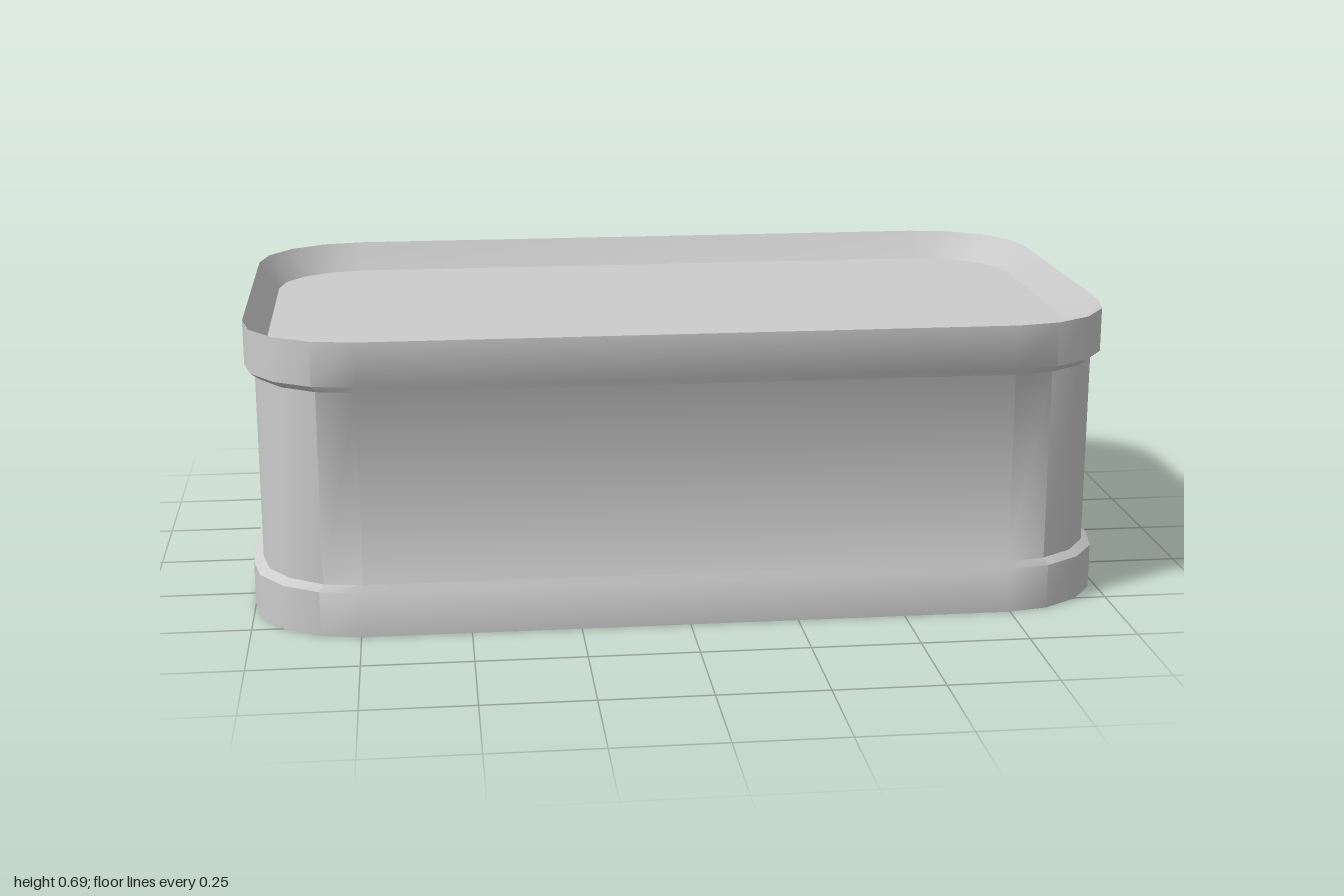
import * as THREE from 'three';
import { toCreasedNormals } from 'three/addons/utils/BufferGeometryUtils.js';

const CX = 0.743, CZ = 0.329; // centres of the rounded corners
const STEPS = 4;              // facets per corner

// Rounded rectangle outline reaching to x = hx and z = hz, as [x, z] points
function outline(hx, hz) {
  const pts = [];
  [[1, 1], [-1, 1], [-1, -1], [1, -1]].forEach(([sx, sz], q) => {
    for (let i = 0; i <= STEPS; i++) {
      const a = (q + i / STEPS) * Math.PI / 2;
      pts.push([sx * CX + (hx - CX) * Math.cos(a), sz * CZ + (hz - CZ) * Math.sin(a)]);
    }
  });
  return pts;
}

// Skin joining outlines listed from bottom to top as [hx, hz, y]
function loft(sections, crease) {
  const pos = [];
  const rings = sections.map(([hx, hz, y]) => outline(hx, hz).map(([x, z]) => [x, y, z]));
  for (let k = 0; k < rings.length - 1; k++) {
    const lo = rings[k], hi = rings[k + 1], n = lo.length;
    for (let i = 0; i < n; i++) {
      const j = (i + 1) % n;
      pos.push(...lo[i], ...hi[i], ...lo[j], ...lo[j], ...hi[i], ...hi[j]);
    }
  }
  const geo = new THREE.BufferGeometry();
  geo.setAttribute('position', new THREE.Float32BufferAttribute(pos, 3));
  return toCreasedNormals(geo, crease);
}

// Flat panel facing up (dir = 1) or down (dir = -1)
function panel(hx, hz, y, dir) {
  const shape = new THREE.Shape(outline(hx, hz).map(([x, z]) => new THREE.Vector2(x, z)));
  return new THREE.ShapeGeometry(shape).rotateX(-dir * Math.PI / 2).translate(0, y, 0);
}

export function createModel() {
  const model = new THREE.Group();
  model.name = 'tin';
  const metal = new THREE.MeshStandardMaterial({ color: 0xcccccc });
  metal.name = 'grey metal';
  const add = (name, geo) => {
    const mesh = new THREE.Mesh(geo, metal);
    mesh.name = name;
    model.add(mesh);
  };

  // Outer wall: bottom band, slightly narrower body, top band
  add('wall', loft([
    [1, 0.575, 0],
    [1, 0.575, 0.105],
    [0.977, 0.563, 0.12],
    [0.977, 0.563, 0.568],
    [1, 0.575, 0.583],
    [1, 0.575, 0.685],
  ], 0.72));

  // Inside of the rim, sloping down to the sunken lid
  add('rimInside', loft([[1, 0.575, 0.685], [0.953, 0.531, 0.617]], 0.72));
  add('lid', panel(0.953, 0.531, 0.617, 1));
  add('base', panel(1, 0.575, 0, -1));

  return model;
}
